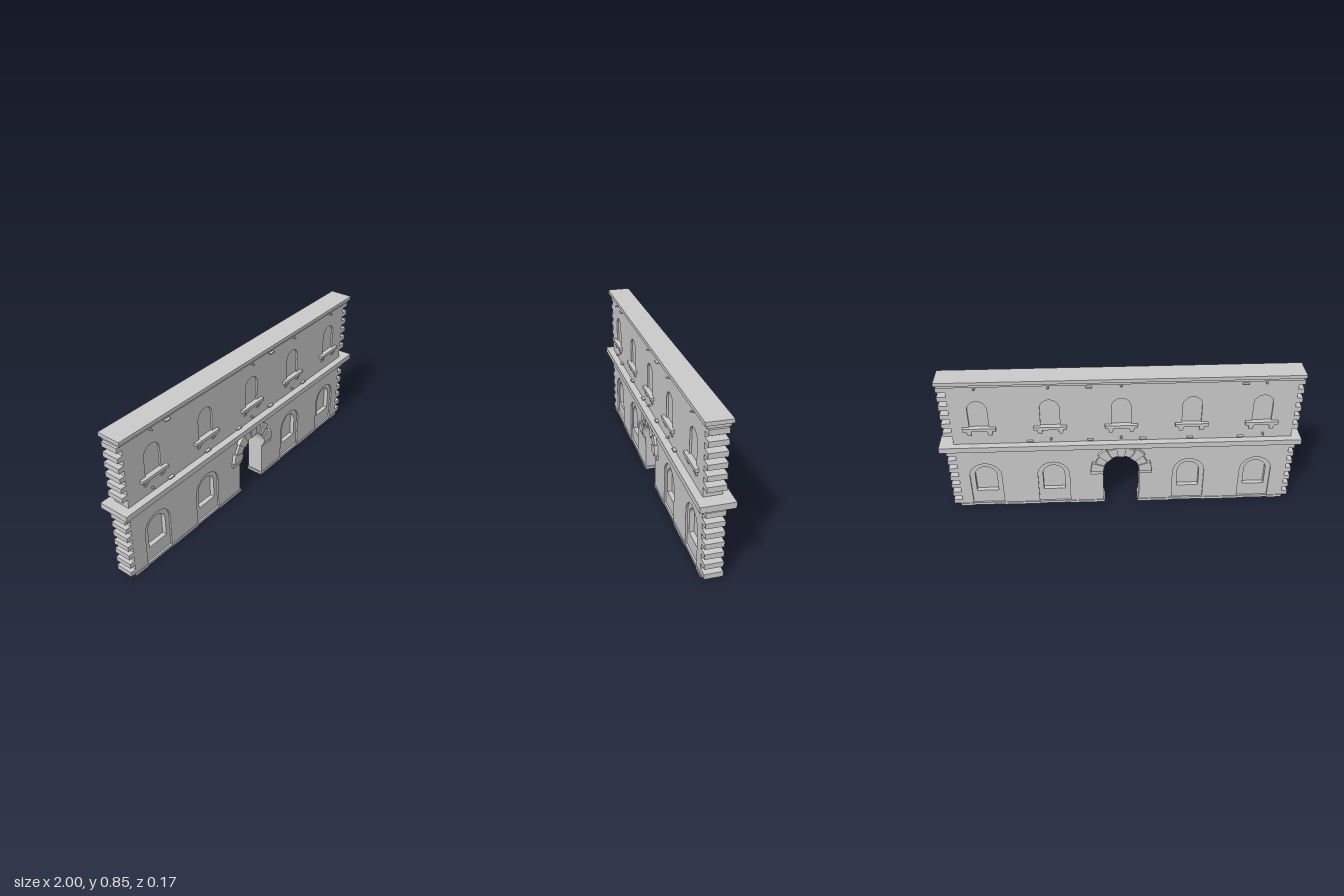
import * as THREE from 'three';

const material = new THREE.MeshStandardMaterial({ color: 0xcccccc, flatShading: true });
const BAYS = [-0.77, -0.385, 0, 0.385, 0.77];
const LOWER_BAYS = BAYS.filter((x) => x !== 0);
const LEFT = -0.947, RIGHT = 0.922, WALL_Z = 0.048;

export function createModel() {
  const model = new THREE.Group();
  model.name = 'arcadedWall';

  const add = (name, geometry, parent = model) => {
    const mesh = new THREE.Mesh(geometry, material);
    mesh.name = name;
    parent.add(mesh);
    return mesh;
  };
  // Box given by its limits on each axis
  const block = (name, x0, x1, y0, y1, z0, z1, parent) => {
    const mesh = add(name, new THREE.BoxGeometry(x1 - x0, y1 - y0, z1 - z0), parent);
    mesh.position.set((x0 + x1) / 2, (y0 + y1) / 2, (z0 + z1) / 2);
    return mesh;
  };
  const slab = (shape, z0, z1) => {
    const g = new THREE.ExtrudeGeometry(shape, { depth: z1 - z0, bevelEnabled: false, curveSegments: 14 });
    return g.translate(0, 0, z0);
  };
  // Round-headed opening
  const arched = (x, bottom, spring, r) => {
    const p = new THREE.Path();
    p.moveTo(x - r, bottom);
    p.lineTo(x + r, bottom);
    p.lineTo(x + r, spring);
    p.absarc(x, spring, r, 0, Math.PI, false);
    p.lineTo(x - r, bottom);
    return p;
  };
  // Wall outline with the doorway cut into its foot
  const wallShape = (holes) => {
    const s = new THREE.Shape();
    s.moveTo(LEFT, 0);
    s.lineTo(-0.103, 0);
    s.lineTo(-0.103, 0.24);
    s.absarc(0, 0.24, 0.103, Math.PI, 0, true);
    s.lineTo(0.103, 0);
    s.lineTo(RIGHT, 0);
    s.lineTo(RIGHT, 0.815);
    s.lineTo(LEFT, 0.815);
    s.closePath();
    s.holes.push(...holes);
    return s;
  };

  // Wall in layers: solid core, deep window recesses, shallow panels
  const upperWindows = BAYS.map((x) => arched(x, 0.545, 0.664, 0.053));
  const panels = LOWER_BAYS.map((x) => arched(x, 0.016, 0.21, 0.09));
  const lowerWindows = LOWER_BAYS.map((x) => arched(x, 0.1, 0.21, 0.062));
  add('wallCore', slab(wallShape([]), -0.012, 0.012));
  for (const side of [1, -1]) {
    const inner = [0.012 * side, 0.038 * side].sort((a, b) => a - b);
    const outer = [0.038 * side, WALL_Z * side].sort((a, b) => a - b);
    add('windowLayer', slab(wallShape(lowerWindows), ...inner));
    add('panelLayer', slab(wallShape([...upperWindows, ...panels]), ...outer));
  }

  // Plinth, set back slightly below each lower window
  for (const [x0, x1] of [[LEFT, -0.095], [0.095, 0.935]]) {
    block('plinth', x0, x1, 0, 0.016, -0.0485, 0.0485);
    const cuts = LOWER_BAYS.filter((x) => x > x0 && x < x1).flatMap((x) => [x - 0.09, x + 0.09]);
    const ends = [x0, ...cuts, x1];
    for (let i = 0; i < ends.length; i += 2) {
      block('plinthProjection', ends[i], ends[i + 1], 0, 0.016, -0.052, 0.052);
    }
  }

  // String course and stepped cornice
  block('stringCourse', -1, 1, 0.41, 0.442, -0.087, 0.087);
  block('corniceLower', -0.969, 0.966, 0.809, 0.826, -0.056, 0.056);
  block('corniceUpper', -0.978, 0.975, 0.826, 0.846, -0.067, 0.067);

  // Quoins at both ends of both storeys
  const quoinRows = [];
  for (let i = 0; i < 7; i++) quoinRows.push(0.016 + i * 0.057);
  for (let i = 0; i < 6; i++) quoinRows.push(0.778 - i * 0.057);
  for (const y of quoinRows) {
    block('quoinRight', -0.98, LEFT + 0.01, y, y + 0.028, -WALL_Z, WALL_Z);
    block('quoinLeft', RIGHT - 0.01, 0.972, y, y + 0.028, -WALL_Z, WALL_Z);
  }

  // Doorway arch of alternating wedge stones
  const arch = new THREE.Group();
  arch.name = 'doorArch';
  model.add(arch);
  const count = 9, step = Math.PI / count;
  for (let i = 0; i < count; i++) {
    const large = i % 2 === 0;
    const r = large ? 0.172 : 0.155, z = large ? 0.069 : 0.062;
    const a = i * step, b = a + step;
    const s = new THREE.Shape();
    s.moveTo(r * Math.cos(a), r * Math.sin(a));
    s.absarc(0, 0, r, a, b, false);
    s.absarc(0, 0, 0.101, b, a, true);
    s.closePath();
    add('archStone', slab(s, -z, z), arch).position.y = 0.24;
  }
  for (const s of [-1, 1]) {
    const [x0, x1] = [0.101 * s, 0.175 * s].sort((a, b) => a - b);
    block('archSpringer', x0, x1, 0.214, 0.241, -0.06, 0.06, arch);
  }

  for (const side of [1, -1]) {
    const fittings = new THREE.Group();
    fittings.name = side > 0 ? 'frontFittings' : 'backFittings';
    model.add(fittings);
    // Extent from inside the wall out to the given distance
    const part = (name, x, w, y0, y1, z) => {
      const [z0, z1] = [0.036 * side, z * side].sort((a, b) => a - b);
      block(name, x - w / 2, x + w / 2, y0, y1, z0, z1, fittings);
    };

    // Window sills on paired brackets
    for (const x of BAYS) {
      part('sill', x, 0.18, 0.535, 0.553, 0.067);
      for (const dx of [-0.057, 0.057]) {
        part('bracketUpper', x + dx, 0.028, 0.519, 0.535, 0.061);
        part('bracketLower', x + dx, 0.02, 0.502, 0.519, 0.055);
      }
    }

    // Tapered pegs below the cornice and above the string course
    const pegs = [[-0.77, 0.8], [0, 0.8], [0.385, 0.8], [0.77, 0.8], [-0.785, 0.467], [0, 0.467], [0.385, 0.467]];
    for (const [x, y] of pegs) {
      const peg = add('peg', new THREE.CylinderGeometry(0.004, 0.008, 0.026, 8), fittings);
      peg.rotation.x = side * Math.PI / 2;
      peg.position.set(x, y, side * 0.055);
    }
    // Thin wall clamps
    for (const x of [-0.66, 0.17]) part('clamp', x, 0.035, 0.793, 0.799, 0.064);
    for (const x of [-0.66, -0.38, -0.12, 0.17, 0.5]) part('clamp', x, 0.035, 0.453, 0.459, 0.064);
  }
  return model;
}
